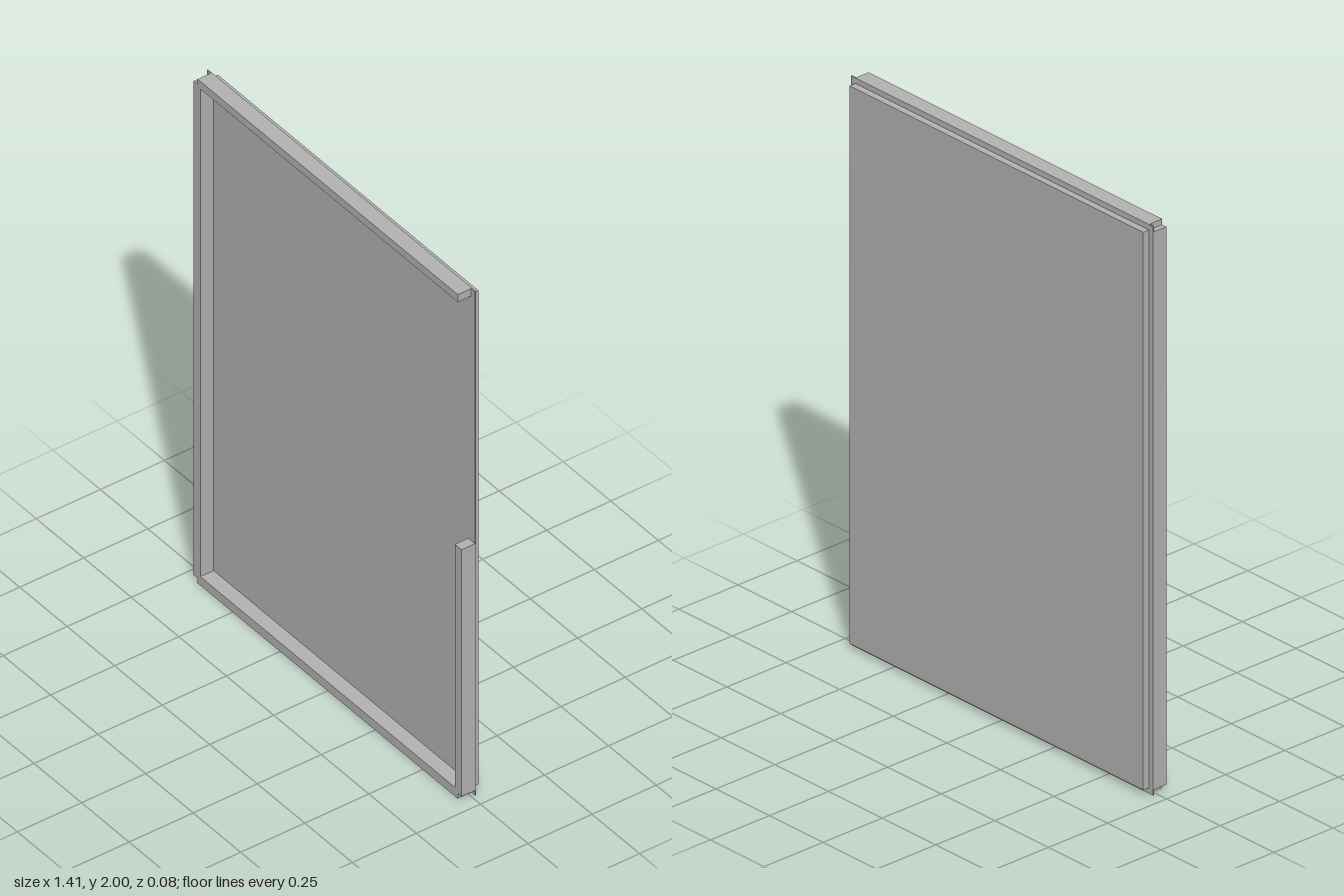
import * as THREE from 'three';

export function createModel() {
  const model = new THREE.Group();
  model.name = 'framedPanel';

  const grey = new THREE.MeshStandardMaterial({ color: 0xb2b2b2 });
  grey.name = 'grey';

  // Box given by its lower and upper bounds on each axis
  const addBox = (name, [x0, x1], [y0, y1], [z0, z1]) => {
    const mesh = new THREE.Mesh(new THREE.BoxGeometry(x1 - x0, y1 - y0, z1 - z0), grey);
    mesh.name = name;
    mesh.position.set((x0 + x1) / 2, (y0 + y1) / 2, (z0 + z1) / 2);
    model.add(mesh);
  };

  const W = 0.705;                // half width of the sheet
  const N = 0.02;                 // corner notch and back inset
  const rim = [-0.013, 0.04];     // depth of the front rim bars

  // Thin full-size sheet with an inset slab behind it
  addBox('sheet', [-W, W], [0, 2], [-0.016, -0.012]);
  addBox('backSlab', [-W + N, W - N], [N, 2 - N], [-0.04, -0.015]);

  // Front rim: bars stop short of the corners, and one side is only half high
  addBox('topBar', [-W + N, W - N], [1.97, 2], rim);
  addBox('bottomBar', [-W + N, W - N], [0, 0.035], rim);
  addBox('tallSideBar', [-W, -W + 0.035], [N, 2 - N], rim);
  addBox('shortSideBar', [W - 0.035, W], [N, 1], rim);

  return model;
}
